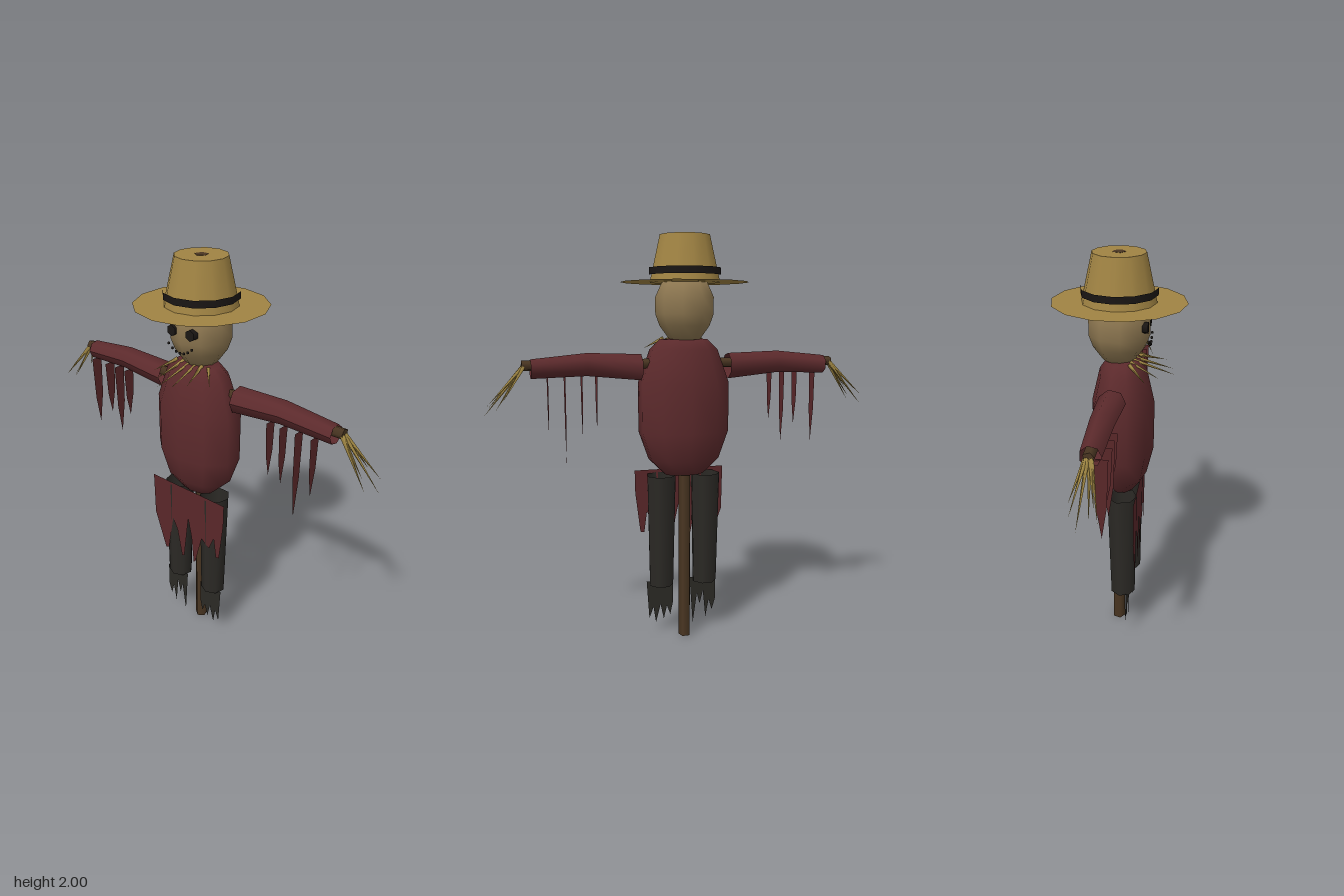
import * as THREE from 'three';

const mat = (color, side = THREE.FrontSide) => new THREE.MeshStandardMaterial({ color, side, roughness: 1 });
const both = THREE.DoubleSide;
const M = {
  wood: mat(0x4a3622), shirt: mat(0x5c2a2c, both), rag: mat(0x5a2729, both), trousers: mat(0x2b2925, both),
  sack: mat(0x8c7650), straw: mat(0xa48a45), hat: mat(0xa08343, both), dark: mat(0x1a1614),
};

export function createModel() {
  const model = new THREE.Group();
  model.name = 'scarecrow';

  const add = (name, geometry, material, x = 0, y = 0, z = 0, parent = model) => {
    const mesh = new THREE.Mesh(geometry, material);
    mesh.name = name;
    mesh.position.set(x, y, z);
    parent.add(mesh);
    return mesh;
  };
  const group = (name) => {
    const g = new THREE.Group();
    g.name = name;
    model.add(g);
    return g;
  };
  const lathe = (pts, sides) => new THREE.LatheGeometry(pts.map(([r, y]) => new THREE.Vector2(r, y)), sides);
  const cloth = (pts) => new THREE.ShapeGeometry(new THREE.Shape(pts.map(([x, y]) => new THREE.Vector2(x, y))));

  // A thin pointed stalk running from a to b
  const stalk = (a, b, r, parent) => {
    const from = new THREE.Vector3(...a), dir = new THREE.Vector3(...b).sub(from);
    const len = dir.length();
    const geo = new THREE.ConeGeometry(r, len, 4).translate(0, len / 2, 0);
    const mesh = add('strawStalk', geo, M.straw, ...a, parent);
    mesh.quaternion.setFromUnitVectors(new THREE.Vector3(0, 1, 0), dir.normalize());
  };

  // Wooden cross
  add('pole', new THREE.CylinderGeometry(0.032, 0.032, 2, 5), M.wood, 0, 1, 0);
  add('crossbar', new THREE.CylinderGeometry(0.025, 0.025, 1.56, 5).rotateZ(Math.PI / 2), M.wood, 0, 1.395, 0);

  // Stuffed shirt body, flattened front to back
  const torso = add('torso', lathe([
    [0, 0.835], [0.1, 0.845], [0.18, 0.92], [0.23, 1.06], [0.23, 1.3], [0.172, 1.46], [0.12, 1.51], [0, 1.52],
  ], 10), M.shirt, 0, 0, 0.02);
  torso.scale.z = 0.65;

  // Sack head with eyes and a stitched mouth
  add('head', lathe([
    [0, 1.5], [0.075, 1.51], [0.122, 1.575], [0.142, 1.63], [0.142, 1.71], [0.11, 1.78], [0, 1.82],
  ], 9), M.sack);
  for (const s of [-1, 1]) {
    add('eye', new THREE.CylinderGeometry(0.027, 0.027, 0.03, 6).rotateX(Math.PI / 2), M.dark, s * 0.055, 1.68, 0.125);
  }
  const mouth = group('mouth');
  for (let i = -3; i <= 3; i++) {
    const x = i * 0.023, y = 1.588 + 0.0035 * i * i;
    add('stitch', new THREE.SphereGeometry(0.007, 5, 4), M.dark, x, y, 0.145 - 0.3 * x * x, mouth);
  }

  // Straw hat
  add('hatBrim', new THREE.CircleGeometry(0.31, 14).rotateX(-Math.PI / 2).rotateY(Math.PI / 2), M.hat, 0, 1.78, 0);
  add('hatCrown', new THREE.CylinderGeometry(0.122, 0.172, 0.22, 12), M.hat, 0, 1.889, 0);
  add('hatBand', new THREE.CylinderGeometry(0.176, 0.176, 0.033, 12, 1, true), M.dark, 0, 1.83, 0);

  // Straw poking out of the collar
  const collar = group('collarStraw');
  [[-0.17, 1.46, 0.14], [-0.1, 1.455, 0.2], [-0.03, 1.455, 0.265], [0.035, 1.46, 0.25], [0.1, 1.48, 0.21], [0.17, 1.465, 0.14]]
    .forEach(([x, y, z]) => stalk([x * 0.55, 1.515, 0.06], [x, y, z], 0.01, collar));

  // Arms: bent open sleeves, hanging rags and straw hands
  const rags = {
    '-1': [[0.7, 0.37], [0.6, 0.28], [0.53, 0.37], [0.46, 0.25]],
    '1': [[0.43, 0.27], [0.5, 0.29], [0.58, 0.43], [0.66, 0.29]],
  };
  const fingers = [[0.955, 1.17, -0.02], [0.93, 1.2, 0.06], [0.94, 1.22, -0.05], [0.9, 1.19, 0.02], [0.87, 1.24, -0.065], [0.9, 1.25, 0.04]];
  for (const s of [-1, 1]) {
    const arm = group(s > 0 ? 'leftArm' : 'rightArm');
    const sleeve = new THREE.CylinderGeometry(0.046, 0.064, 0.52, 7, 2, true).rotateZ(-s * Math.PI / 2);
    const p = sleeve.attributes.position;
    for (let i = 0; i < p.count; i++) {
      p.setY(i, p.getY(i) + 0.017 * (1 - Math.abs(p.getX(i)) / 0.26));
    }
    sleeve.computeVertexNormals();
    add('sleeve', sleeve, M.shirt, s * 0.48, 1.38, 0, arm);
    for (const [x, len] of rags[s]) {
      const rag = cloth([[0.002, 0], [0.008, -len * 0.55], [0.034, -len], [0.056, -len * 0.6], [0.064, 0]]);
      add('sleeveRag', rag.rotateY(-Math.PI / 2), M.rag, s * x, 1.35, 0, arm);
    }
    for (const [x, y, z] of fingers) stalk([s * 0.765, 1.4, z * 0.15], [s * x, y, z], 0.011, arm);
  }

  // Trouser legs, hollow tubes with frayed hems
  const hems = {
    '-1': [[-0.185, 0.28], [-0.185, 0.15], [-0.167, 0.09], [-0.15, 0.15], [-0.132, 0.055], [-0.118, 0.2],
      [-0.1, 0.13], [-0.085, 0.19], [-0.062, 0.03], [-0.045, 0.28]],
    '1': [[0.045, 0.28], [0.045, 0.16], [0.06, 0.09], [0.078, 0.14], [0.095, 0.07], [0.112, 0.15],
      [0.137, 0.055], [0.15, 0.14], [0.172, 0.08], [0.185, 0.28]],
  };
  for (const s of [-1, 1]) {
    const leg = group(s > 0 ? 'leftLeg' : 'rightLeg');
    const tube = new THREE.CylinderGeometry(0.074, 0.062, 0.57, 7, 1, true);
    add('trouserLeg', tube, M.trousers, s * 0.115, 0.555, 0.034, leg).rotation.x = -0.012;
    add('frayedHem', cloth(hems[s]), M.trousers, 0, 0, 0.06, leg);
  }

  // Ragged shirt tail hanging in front of the legs
  add('shirtTail', cloth([
    [-0.235, 0.855], [-0.23, 0.63], [-0.16, 0.43], [-0.14, 0.44], [-0.105, 0.64], [-0.075, 0.58], [-0.045, 0.43],
    [-0.03, 0.44], [0, 0.68], [0.022, 0.58], [0.036, 0.43], [0.048, 0.44], [0.09, 0.6], [0.115, 0.58], [0.14, 0.565],
    [0.17, 0.64], [0.185, 0.53], [0.205, 0.535], [0.23, 0.74], [0.232, 0.855],
  ]), M.rag, 0, 0, 0.102);

  return model;
}
